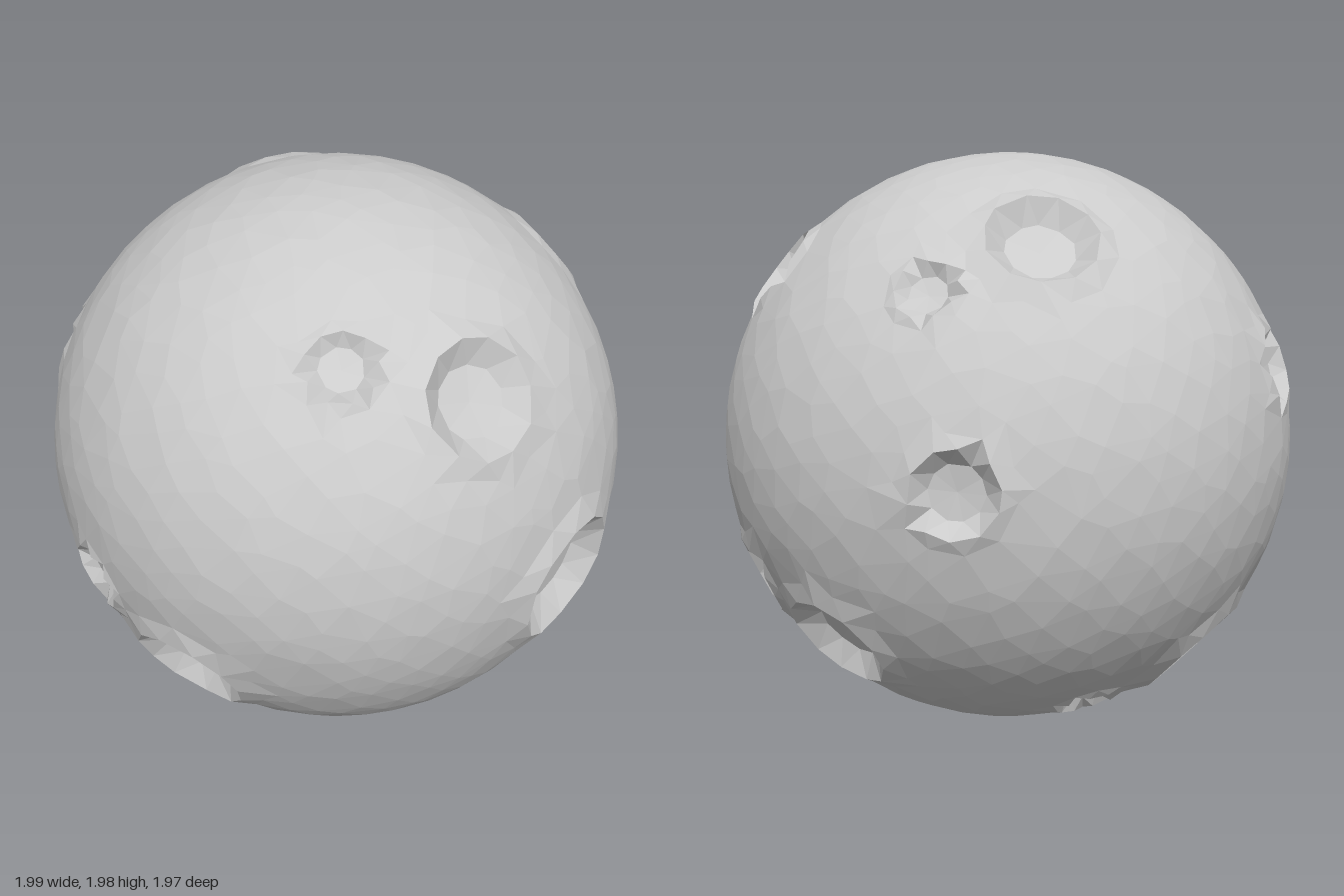
import * as THREE from 'three';
import { ConvexGeometry } from 'three/addons/geometries/ConvexGeometry.js';

const R = 0.985;

// Craters: direction from the centre (x, y, z) and rim radius
const CRATERS = [
  [0.13, -0.42, 0.87, 0.2],
  [-0.23, -0.18, 0.93, 0.12],
  [-0.785, 0.3, 0.5, 0.13],
  [-0.665, -0.66, 0.28, 0.2],
  [0.465, 0.73, 0.5, 0.11],
  [0.76, 0.6, 0.21, 0.185],
  [0.97, -0.13, -0.045, 0.225],
  [0.365, 0.63, -0.71, 0.15],
  [0.27, -0.42, -0.85, 0.14],
  [0.23, -0.95, -0.04, 0.16],
  [-0.435, 0.6, -0.65, 0.1],
  [-0.565, 0.74, -0.31, 0.18],
  [-0.67, 0.03, -0.72, 0.14],
  [-0.126, -0.56, -0.8, 0.19],
  [-0.55, -0.8, -0.1, 0.1],
].map(([x, y, z, r]) => ({ dir: new THREE.Vector3(x, y, z).normalize(), r: r / R }));

// Height over the sphere as a share of the crater radius, by distance from its centre
const PROFILE = [[0, -0.38], [0.66, -0.3], [1, 0.1], [1.35, 0]];

function seeded(seed) {
  return () => {
    seed = (seed * 16807) % 2147483647;
    return seed / 2147483647;
  };
}

function craterHeight(dir) {
  for (const c of CRATERS) {
    const t = dir.angleTo(c.dir) / c.r;
    for (let i = 1; i < PROFILE.length; i++) {
      const [t0, h0] = PROFILE[i - 1];
      const [t1, h1] = PROFILE[i];
      if (t <= t1) return c.r * THREE.MathUtils.lerp(h0, h1, (t - t0) / (t1 - t0));
    }
  }
  return 0;
}

// Centre point and floor, rim and outer rings of one crater, on the unit sphere
function craterPoints({ dir, r }, random) {
  const points = [dir.clone()];
  const side = new THREE.Vector3(0.31, 0.84, 0.45).cross(dir).normalize();
  const up = new THREE.Vector3().crossVectors(dir, side);
  const sides = Math.round(6 + r * 26);
  [0.66, 1, 1.35].forEach((t, ring) => {
    for (let i = 0; i < sides; i++) {
      const a = ((i + ring * 0.5 + (random() - 0.5) * 0.3) / sides) * Math.PI * 2;
      const angle = r * t * (1 + (random() - 0.5) * 0.05);
      points.push(dir.clone().multiplyScalar(Math.cos(angle))
        .addScaledVector(side, Math.sin(angle) * Math.cos(a))
        .addScaledVector(up, Math.sin(angle) * Math.sin(a)));
    }
  });
  return points;
}

export function createModel() {
  const random = seeded(4711);
  const points = CRATERS.flatMap((c) => craterPoints(c, random));

  // Irregular, even scatter of points over the ground between the craters
  const count = 1100;
  for (let i = 0; i < count; i++) {
    const y = 1 - (2 * (i + 0.5)) / count;
    const a = i * Math.PI * (3 - Math.sqrt(5));
    const s = Math.sqrt(1 - y * y);
    const p = new THREE.Vector3(s * Math.cos(a), y, s * Math.sin(a));
    const jitter = new THREE.Vector3(random() - 0.5, random() - 0.5, random() - 0.5);
    p.addScaledVector(jitter, 0.06).normalize();
    if (CRATERS.every((c) => p.angleTo(c.dir) > c.r * 1.35 + 0.04)) points.push(p);
  }

  // The hull joins the points into facets, then each crater is pressed in
  const geometry = new ConvexGeometry(points);
  const pos = geometry.attributes.position;
  const v = new THREE.Vector3();
  for (let i = 0; i < pos.count; i++) {
    v.fromBufferAttribute(pos, i).normalize();
    v.multiplyScalar(R * (1 + craterHeight(v)));
    pos.setXYZ(i, v.x, v.y, v.z);
  }
  geometry.computeVertexNormals();

  const moon = new THREE.Mesh(
    geometry,
    new THREE.MeshStandardMaterial({ color: 0xcccccc, flatShading: true })
  );
  moon.name = 'crateredMoon';
  moon.position.set(-0.012, 1, 0);

  const group = new THREE.Group();
  group.name = 'moon';
  group.add(moon);
  return group;
}
